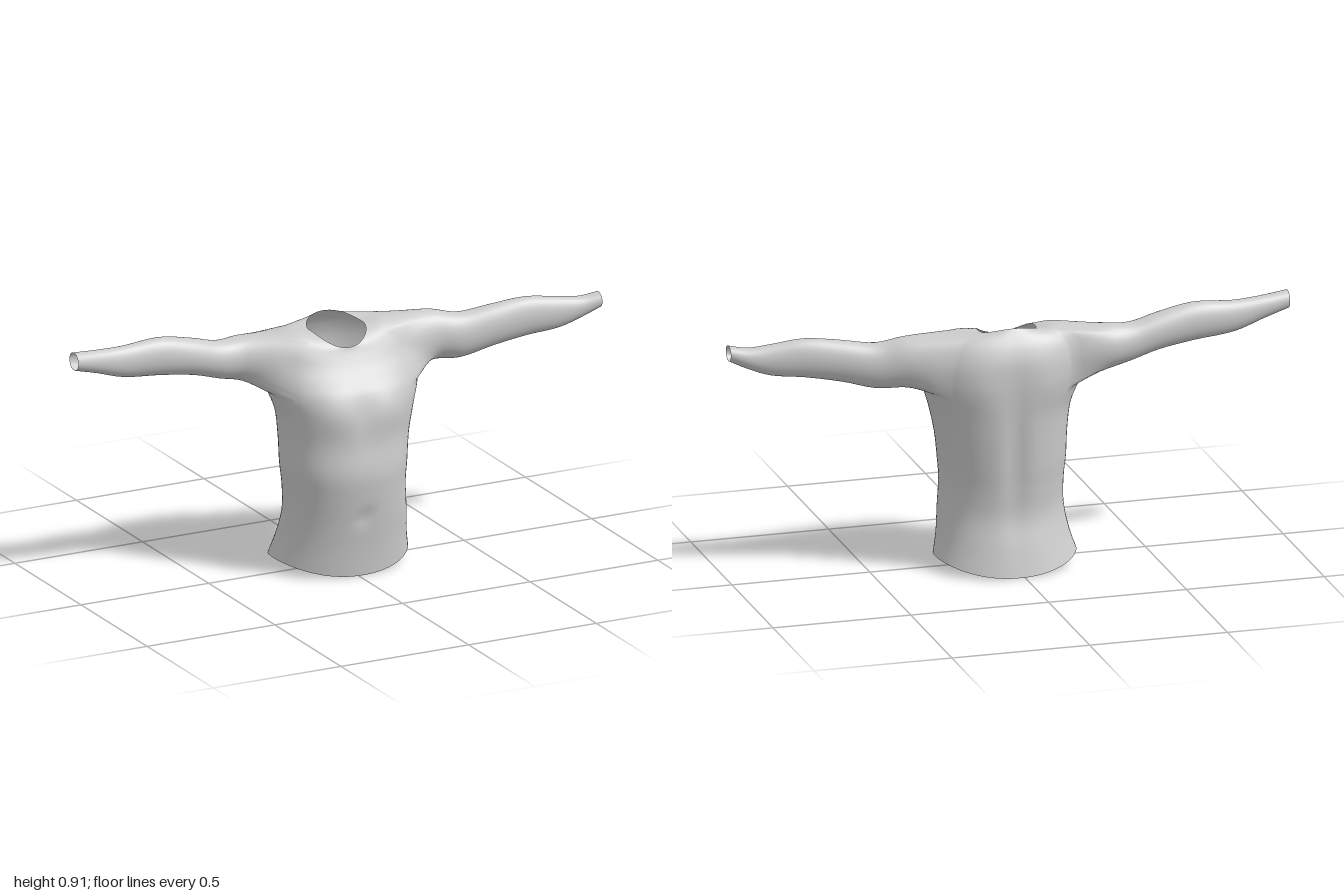
import * as THREE from 'three';

const SEG = 64, SUB = 4, HALF = 7;
const spow = (v, p) => Math.sign(v) * Math.abs(v) ** p;

// Torso rings from hem to neckline: xRight, xLeft, zFront, zBack, yFront, ySide, yBack
const TORSO = [
  [-0.235, 0.27, 0.17, -0.215, 0.0, 0.045, 0.0],
  [-0.215, 0.255, 0.18, -0.19, 0.1, 0.11, 0.1],
  [-0.2, 0.245, 0.194, -0.166, 0.2, 0.2, 0.2],
  [-0.2, 0.237, 0.208, -0.17, 0.3, 0.3, 0.3],
  [-0.208, 0.243, 0.214, -0.178, 0.38, 0.38, 0.38],
  [-0.21, 0.257, 0.2, -0.185, 0.48, 0.48, 0.48],
  [-0.222, 0.28, 0.195, -0.19, 0.58, 0.58, 0.58],
  [-0.25, 0.305, 0.172, -0.192, 0.655, 0.655, 0.65],
  [-0.26, 0.31, 0.142, -0.192, 0.7, 0.71, 0.7],
  [-0.255, 0.3, 0.11, -0.187, 0.745, 0.77, 0.77],
  [-0.235, 0.27, 0.09, -0.17, 0.778, 0.83, 0.82],
  [-0.18, 0.21, 0.08, -0.15, 0.797, 0.865, 0.853],
  [-0.09, 0.115, 0.075, -0.125, 0.81, 0.858, 0.885],
];
const HOLE = [7 * SUB, 11 * SUB]; // torso rows spanned by an armhole

// Arm rings from shoulder to cuff: x, yTop, yBottom, zBack, zFront
const LEFT_ARM = [
  [0.38, 0.86, 0.677, -0.1, 0.04],
  [0.48, 0.84, 0.676, -0.067, 0.05],
  [0.6, 0.855, 0.705, -0.04, 0.06],
  [0.73, 0.868, 0.728, -0.017, 0.068],
  [0.85, 0.853, 0.742, 0.003, 0.075],
  [0.93, 0.845, 0.77, 0.015, 0.082],
  [0.995, 0.855, 0.8, 0.03, 0.092],
];
const RIGHT_ARM = [
  [-0.33, 0.86, 0.695, -0.152, -0.015],
  [-0.42, 0.855, 0.718, -0.14, -0.025],
  [-0.52, 0.88, 0.747, -0.133, -0.026],
  [-0.65, 0.905, 0.768, -0.124, -0.03],
  [-0.8, 0.897, 0.785, -0.111, -0.036],
  [-0.91, 0.902, 0.82, -0.098, -0.03],
  [-1, 0.91, 0.846, -0.087, -0.02],
];

// Smooth rows of points passing through the key rings
function loft(rings) {
  const curves = rings[0].map((_, j) => new THREE.CatmullRomCurve3(rings.map((r) => r[j])));
  const n = (rings.length - 1) * SUB;
  return Array.from({ length: n + 1 }, (_, i) => curves.map((c) => c.getPoint(i / n)));
}

// Quads between closed rows of vertex numbers
function skin(rows, skip = () => false) {
  const index = [];
  for (let r = 0; r < rows.length - 1; r++) {
    const n = rows[r].length;
    for (let c = 0; c < n; c++) {
      if (skip(r, c)) continue;
      const d = (c + 1) % n;
      const [a, b, e, f] = [rows[r][c], rows[r + 1][c], rows[r][d], rows[r + 1][d]];
      index.push(a, b, e, e, b, f);
    }
  }
  return index;
}

function torsoRing([x0, x1, zf, zb, yf, ys, yb]) {
  return Array.from({ length: SEG }, (_, j) => {
    const a = (j / SEG) * Math.PI * 2, s = Math.sin(a);
    return new THREE.Vector3(
      (x0 + x1) / 2 + ((x1 - x0) / 2) * spow(Math.cos(a), 0.93),
      ys + ((s > 0 ? yf : yb) - ys) * s * s,
      (zf + zb) / 2 + ((zf - zb) / 2) * spow(s, 0.93));
  });
}

// Soft body relief: x, y, width, height, depth, side (1 front, -1 back)
const RELIEF = [
  [0.01, 0.22, 0.025, 0.025, -0.012, 1],
  [0.015, 0.6, 0.03, 0.1, -0.008, 1],
  [-0.1, 0.6, 0.06, 0.06, 0.008, 1],
  [0.13, 0.6, 0.06, 0.06, 0.008, 1],
  [0.02, 0.45, 0.035, 0.24, -0.018, -1],
  [-0.1, 0.68, 0.06, 0.09, 0.008, -1],
  [0.14, 0.68, 0.06, 0.09, 0.008, -1],
];
function sculpt(p) {
  const side = p.z > -0.02 ? 1 : -1;
  const face = Math.min(1, Math.abs(p.z + 0.02) / 0.1);
  for (const [x, y, w, h, d, s] of RELIEF) {
    if (s === side) p.z += s * d * face * Math.exp(-(((p.x - x) / w) ** 2) - ((p.y - y) / h) ** 2);
  }
}

export function createModel() {
  const points = [];
  const add = (p) => points.push(p) - 1;

  // Torso with an armhole left open on each side
  const grid = loft(TORSO.map(torsoRing));
  grid.flat().forEach(sculpt);
  const rows = grid.map((row) => row.map(add));
  const inHole = (r, c) => {
    const q = (c + HALF) % (SEG / 2);
    return r >= HOLE[0] && r < HOLE[1] && q < 2 * HALF;
  };
  const parts = { torso: skin(rows, inHole) };

  // Sleeve grown from the rim of its armhole
  function sleeve(mid, keys) {
    const rim = [];
    const at = (r, c) => rim.push(rows[r][(mid + c + SEG) % SEG]);
    for (let c = -HALF; c < HALF; c++) at(HOLE[0], c);
    for (let r = HOLE[0]; r < HOLE[1]; r++) at(r, HALF);
    for (let c = HALF; c > -HALF; c--) at(HOLE[1], c);
    for (let r = HOLE[1]; r > HOLE[0]; r--) at(r, -HALF);
    const loop = rim.map((i) => points[i]);
    const box = new THREE.Box3().setFromPoints(loop);
    const mean = box.getCenter(new THREE.Vector3()), size = box.getSize(new THREE.Vector3());
    const angles = loop.map((p) => Math.atan2((p.y - mean.y) / size.y, (p.z - mean.z) / size.z));
    const rings = keys.map(([x, y1, y0, z0, z1]) => angles.map((a) => new THREE.Vector3(
      x,
      (y0 + y1) / 2 + ((y1 - y0) / 2) * Math.sin(a),
      (z0 + z1) / 2 + ((z1 - z0) / 2) * Math.cos(a))));
    const body = loft([loop, ...rings]).slice(1).map((row) => row.map(add));
    return skin([rim, ...body]);
  }
  parts.leftSleeve = sleeve(0, LEFT_ARM);
  parts.rightSleeve = sleeve(SEG / 2, RIGHT_ARM);

  // Shared normals keep the seams between the parts smooth
  const whole = new THREE.BufferGeometry().setFromPoints(points);
  whole.setIndex(Object.values(parts).flat());
  whole.computeVertexNormals();

  const material = new THREE.MeshStandardMaterial({ color: 0xcccccc, side: THREE.DoubleSide });
  const group = new THREE.Group();
  group.name = 'fittedShirt';
  for (const [name, index] of Object.entries(parts)) {
    const geometry = new THREE.BufferGeometry();
    geometry.setAttribute('position', whole.getAttribute('position'));
    geometry.setAttribute('normal', whole.getAttribute('normal'));
    geometry.setIndex(index);
    const mesh = new THREE.Mesh(geometry, material);
    mesh.name = name;
    group.add(mesh);
  }
  return group;
}
